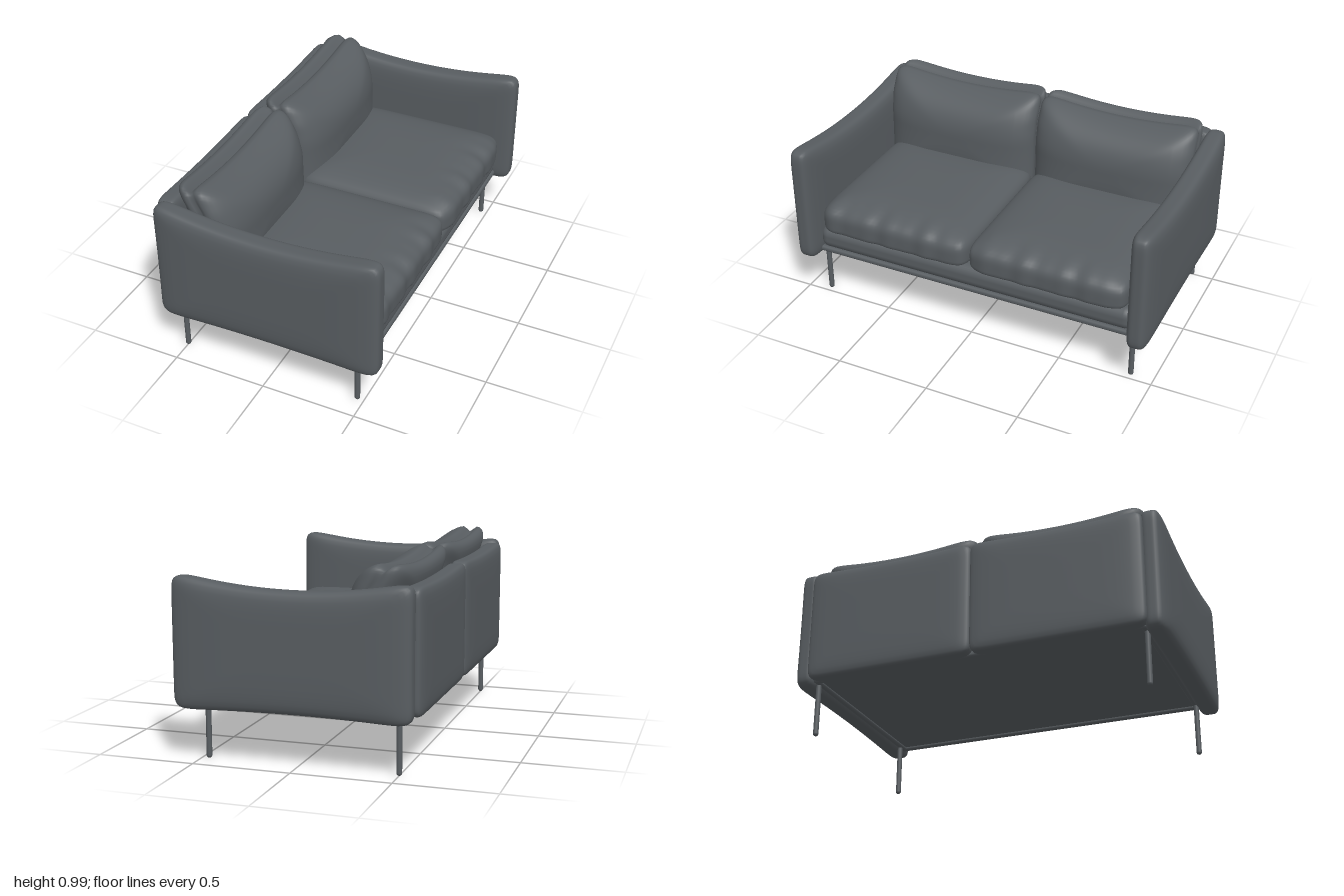
import * as THREE from 'three';
import { mergeVertices } from 'three/addons/utils/BufferGeometryUtils.js';
import { RoundedBoxGeometry } from 'three/addons/geometries/RoundedBoxGeometry.js';

const charcoal = new THREE.MeshStandardMaterial({ color: 0x585d61 });
charcoal.name = 'charcoal';

// Upholstered pad: a cube grid pulled to a superellipsoid, then warped.
// half/centre: sizes, thin: thickness axis, n: outline squareness, m: edge fullness.
// warp(p, q) edits the placed point p; q is the same point in -1..1 units.
function pad(name, half, centre, thin, n, m, warp) {
  const segs = [36, 36, 36];
  segs[thin] = 16;
  let geo = new THREE.BoxGeometry(2, 2, 2, ...segs);
  geo.deleteAttribute('normal');
  geo.deleteAttribute('uv');
  geo = mergeVertices(geo);
  const pos = geo.attributes.position;
  const [i, j] = [0, 1, 2].filter((k) => k !== thin);
  const q = new THREE.Vector3(), p = new THREE.Vector3();
  const h = new THREE.Vector3(...half), c = new THREE.Vector3(...centre);
  for (let v = 0; v < pos.count; v++) {
    q.fromBufferAttribute(pos, v);
    const a = Math.abs(q.getComponent(i)), b = Math.abs(q.getComponent(j));
    const t = Math.abs(q.getComponent(thin));
    const outline = (a ** n + b ** n) ** (1 / n);
    q.divideScalar((outline ** m + t ** m) ** (1 / m));
    p.copy(q).multiply(h).add(c);
    if (warp) warp(p, q);
    pos.setXYZ(v, p.x, p.y, p.z);
  }
  geo.computeVertexNormals();
  const mesh = new THREE.Mesh(geo, charcoal);
  mesh.name = name;
  return mesh;
}

function block(name, size, centre, radius) {
  const mesh = new THREE.Mesh(new RoundedBoxGeometry(...size, 4, radius), charcoal);
  mesh.name = name;
  mesh.position.set(...centre);
  return mesh;
}

export function createModel() {
  const sofa = new THREE.Group();
  sofa.name = 'sofa';

  // Base and the slim frame under it
  sofa.add(block('base', [1.08, 0.125, 1.78], [-0.01, 0.363, 0], 0.05));
  sofa.add(block('underside', [1.04, 0.03, 1.74], [-0.01, 0.31, 0], 0.005));
  for (const s of [-1, 1]) {
    sofa.add(block('sideRail', [1.08, 0.032, 0.032], [-0.01, 0.295, s * 0.874], 0.014));
    sofa.add(block('longRail', [0.032, 0.032, 1.78], [-0.01 + s * 0.524, 0.295, 0], 0.014));
  }

  for (const s of [-1, 1]) {
    const side = s > 0 ? 'left' : 'right';

    // Legs
    for (const x of [-0.5, 0.465]) {
      const leg = new THREE.Mesh(new THREE.CapsuleGeometry(0.014, 0.29, 6, 16), charcoal);
      leg.name = side + 'Leg';
      leg.position.set(x, 0.159, s * 0.88);
      sofa.add(leg);
    }

    // Arm, with a sagging top edge and a slightly raised bottom edge
    sofa.add(pad(side + 'Arm', [0.605, 0.335, 0.068], [0.005, 0.587, s * 0.932], 2, 16, 4.5, (p, q) => {
      const sag = 1 - q.x * q.x;
      p.y += q.y > 0 ? -0.065 * sag * q.y : -0.018 * sag * q.y;
      if (q.x < 0) p.x += 0.02 * q.x * q.x * (1 - q.y * q.y * 0.2);
    }));

    // Back panel half
    sofa.add(pad(side + 'BackPanel', [0.056, 0.308, 0.452], [-0.559, 0.588, s * 0.45], 0, 18, 6, (p, q) => {
      if (q.y > 0) p.y -= 0.015 * (1 - q.z * q.z) * q.y;
    }));

    // Seat cushion: flat below, crowned above, puckered along the front
    sofa.add(pad(side + 'SeatCushion', [0.44, 0.115, 0.43], [0.128, 0.505, s * 0.43], 1, 12, 3.2, (p, q) => {
      if (q.y < 0) p.y = 0.505 - 0.09 * Math.abs(q.y) ** 0.4;
      const front = THREE.MathUtils.smoothstep(q.x, 0.55, 1);
      const ripple = Math.sin(p.z * 34) + 0.6 * Math.sin(p.z * 57 + 1);
      p.y += 0.004 * front * ripple * (q.y > 0 ? 1 : 0.3);
      p.x += 0.004 * front * ripple;
    }));

    // Back cushion: leans back, dips along the top and has a pinched seam
    sofa.add(pad(side + 'BackCushion', [0.16, 0.275, 0.445], [-0.34, 0.72, s * 0.445], 0, 14, 2.8, (p, q) => {
      const up = Math.max(q.y, 0);
      p.x -= 0.095 * up * up;
      p.x = q.y > 0 ? p.x : p.x + 0.015 * q.y * q.y;
      p.y -= up ** 2 * 0.04 * (1 - q.z * q.z);
      const seam = Math.exp(-((q.x / 0.14) ** 2));
      p.y += up ** 8 * (0.008 - 0.045 * seam);
      const end = Math.abs(q.z) ** 12;
      p.z -= Math.sign(q.z) * 0.02 * seam * end;
      p.x += 0.004 * up * end * Math.sin(p.y * 60);
    }));
  }
  return sofa;
}
